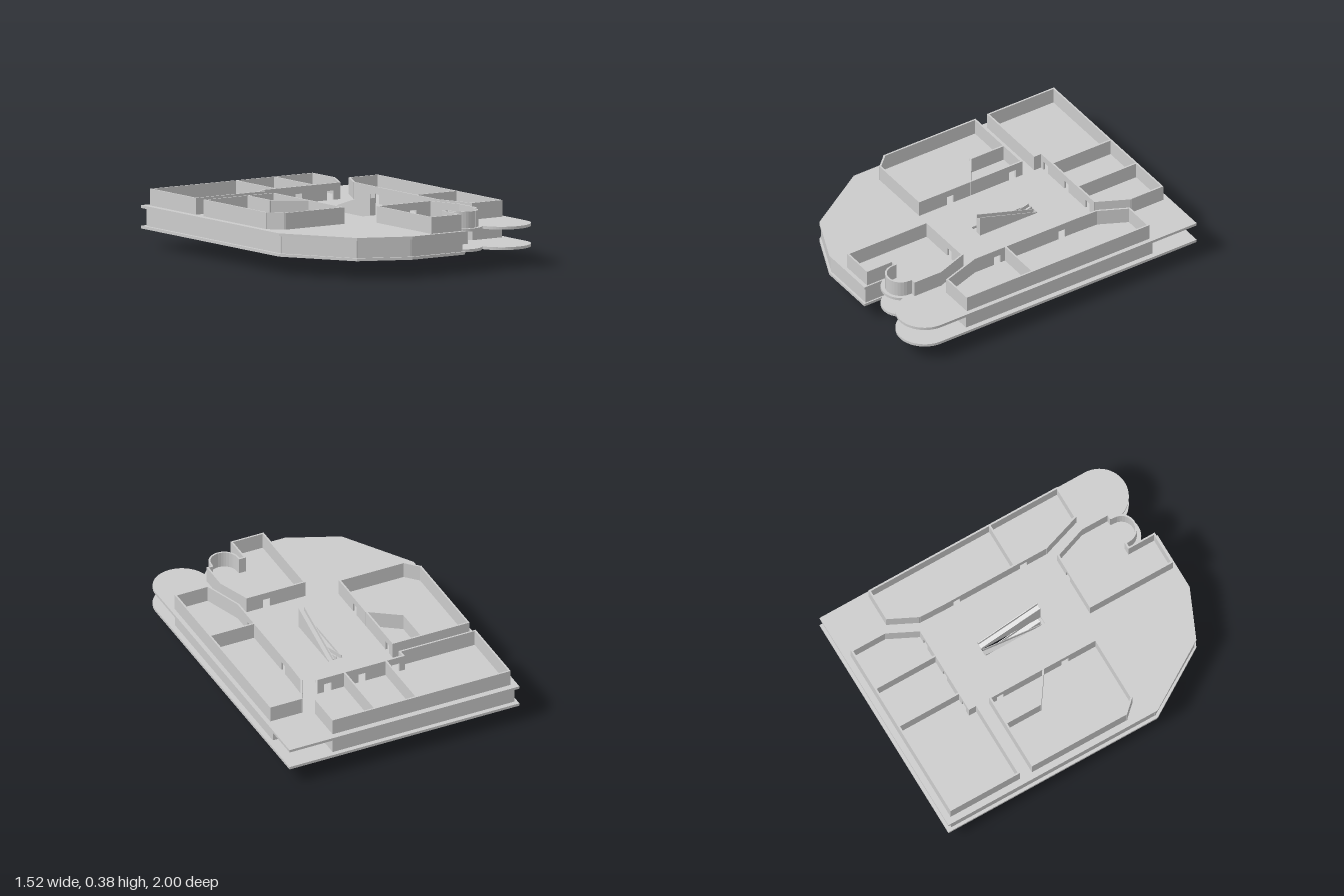
import * as THREE from 'three';

const T = 0.011; // wall thickness
const material = new THREE.MeshStandardMaterial({ color: 0xcccccc, flatShading: true, side: THREE.DoubleSide });

function addMesh(parent, geometry, name) {
  const mesh = new THREE.Mesh(geometry, material);
  mesh.name = name;
  parent.add(mesh);
  return mesh;
}

// Points [x, z] along an arc, angles measured from +x towards +z
function arc(cx, cz, r, a0, a1, n = 20) {
  return Array.from({ length: n + 1 }, (_, i) => {
    const a = a0 + (a1 - a0) * i / n;
    return [cx + r * Math.cos(a), cz + r * Math.sin(a)];
  });
}

// Upright wall from a to b, with a notch for every door point lying on it
function wallGeometry(a, b, y0, y1, doors) {
  const dx = b[0] - a[0], dz = b[1] - a[1], len = Math.hypot(dx, dz), h = y1 - y0;
  const ux = dx / len, uz = dz / len, doorW = 0.047, doorH = 0.056;
  const stops = doors
    .map(([x, z]) => ({ s: (x - a[0]) * ux + (z - a[1]) * uz, off: Math.abs((x - a[0]) * uz - (z - a[1]) * ux) }))
    .filter(d => d.off < 0.012 && d.s > doorW / 2 && d.s < len - doorW / 2)
    .map(d => d.s).sort((p, q) => p - q);
  const e = len > 0.03 ? T / 2 : T / 8;
  const pts = [[-e, 0]];
  for (const s of stops) {
    const l = s - doorW / 2, r = s + doorW / 2;
    pts.push([l, 0], [l, doorH], [r, doorH], [r, 0]);
  }
  pts.push([len + e, 0], [len + e, h], [-e, h]);
  const g = new THREE.ExtrudeGeometry(new THREE.Shape(pts.map(p => new THREE.Vector2(...p))),
    { depth: T, bevelEnabled: false });
  return g.translate(0, 0, -T / 2).rotateY(-Math.atan2(dz, dx)).translate(a[0], y0, a[1]);
}

function addRoom(parent, name, outline, partitions, y0, y1, doors = []) {
  const room = new THREE.Group();
  room.name = name;
  outline.forEach((p, i) => addMesh(room,
    wallGeometry(p, outline[(i + 1) % outline.length], y0, y1, doors), 'outerWall'));
  for (const line of partitions) {
    for (let i = 0; i < line.length - 1; i++) {
      addMesh(room, wallGeometry(line[i], line[i + 1], y0, y1, doors), 'partitionWall');
    }
  }
  parent.add(room);
}

// Floor plate with two rounded lobes, a cut corner and the stairwell opening
function slabGeometry(y0, y1) {
  const outline = [[-0.76, -1], [0.76, -1], ...arc(0.585, 0.825, 0.175, 0, 2.88, 28),
    ...arc(0.305, 0.805, 0.125, 0.57, Math.PI - 0.57, 16),
    [0.2, 1], [-0.18, 1], [-0.49, 0.865], [-0.76, 0.44]];
  const opening = [[0.055, -0.27], [0.055, 0.14], [0.15, 0.14], [0.15, -0.27]];
  const flat = ps => ps.map(([x, z]) => new THREE.Vector2(x, -z));
  const shape = new THREE.Shape(flat(outline));
  shape.holes.push(new THREE.Path(flat(opening)));
  return new THREE.ExtrudeGeometry(shape, { depth: y1 - y0, bevelEnabled: false })
    .rotateX(-Math.PI / 2).translate(0, y0, 0);
}

// Side profile [z, y] extruded across x
function profileGeometry(points, x0, width) {
  const shape = new THREE.Shape(points.map(([z, y]) => new THREE.Vector2(-z, y)));
  return new THREE.ExtrudeGeometry(shape, { depth: width, bevelEnabled: false })
    .rotateY(Math.PI / 2).translate(x0, 0, 0);
}

// Sloping wedge between two thin side panels
function addRamp(parent, name, x0, y, reversed) {
  const ramp = new THREE.Group();
  ramp.name = name;
  const w = 0.04, t = 0.004;
  const profile = (low, high) => [[-0.265, 0], [0.14, 0], [0.14, high], [-0.265, low]]
    .map(([z, h]) => [reversed ? -0.125 - z : z, y + h]);
  addMesh(ramp, profileGeometry(profile(0.004, 0.128), x0 + t, w - 2 * t), 'rampTread');
  for (const x of [x0, x0 + w - t]) {
    addMesh(ramp, profileGeometry(profile(0.028, 0.154), x, t), 'rampSide');
  }
  parent.add(ramp);
}

export function createModel() {
  const model = new THREE.Group();
  model.name = 'floorPlanModel';

  addMesh(model, slabGeometry(0.11, 0.127), 'lowerFloor');
  addMesh(model, slabGeometry(0.233, 0.25), 'upperFloor');

  // Upper storey rooms
  const u0 = 0.25, u1 = 0.35;
  addRoom(model, 'upperBackRooms',
    [[-0.715, -0.957], [0.452, -0.957], [0.452, -0.73], [0.357, -0.54], [-0.217, -0.54], [-0.217, -0.49], [-0.715, -0.49]],
    [[[-0.1, -0.957], [-0.1, -0.54]], [[0.175, -0.957], [0.175, -0.54]]],
    u0, u1, [[-0.163, -0.54], [0.06, -0.54], [0.287, -0.54]]);
  addRoom(model, 'upperRightRooms',
    [[-0.715, -0.397], [-0.218, -0.397], [-0.218, 0.33], [-0.64, 0.33], [-0.715, 0.25]],
    [[[-0.405, -0.397], [-0.405, -0.16], [-0.218, -0.03]]],
    u0, u1, [[-0.218, -0.33], [-0.218, 0.115]]);
  addRoom(model, 'upperLeftRooms',
    [[0.525, -0.675], [0.727, -0.675], [0.727, 0.617], [0.515, 0.617], [0.433, 0.37], [0.433, -0.35], [0.438, -0.5]],
    [[[0.433, 0.15], [0.727, 0.15]]],
    u0, u1, [[0.433, -0.25], [0.433, 0.21]]);
  addRoom(model, 'upperFrontRoom',
    [[-0.022, 0.408], [0.358, 0.408], [0.43, 0.61], [0.43, 0.793], [0.4, 0.793],
      ...arc(0.31, 0.815, 0.088, 0, Math.PI, 16), [0.22, 0.793], [0.185, 0.793], [0.185, 0.97], [-0.022, 0.97]],
    [], u0, u1, [[0.23, 0.408]]);

  // Lower storey rooms
  const l0 = 0.127, l1 = 0.233;
  addRoom(model, 'lowerMainRooms',
    [[-0.735, -0.965], [0.455, -0.965], [0.455, -0.78], [0.357, -0.54], [-0.217, -0.54], [-0.217, 0.408],
      [0.358, 0.408], [0.43, 0.61], [0.43, 0.67], [0.4, 0.73], [0.185, 0.73], [0.185, 0.98],
      [-0.178, 0.98], [-0.48, 0.85], [-0.735, 0.435]],
    [[[-0.1, -0.965], [-0.1, -0.54]], [[0.175, -0.965], [0.175, -0.54]],
      [[-0.735, -0.44], [-0.217, -0.44]], [[-0.735, 0.33], [-0.217, 0.33]]],
    l0, l1, [[-0.163, -0.54], [0.06, -0.54], [0.287, -0.54], [-0.217, -0.33], [-0.217, 0.115], [0.23, 0.408]]);
  addRoom(model, 'lowerLeftRooms',
    [[0.525, -0.7], [0.722, -0.7], [0.722, 0.62], [0.515, 0.62], [0.433, 0.37], [0.433, -0.5]],
    [[[0.433, 0.15], [0.722, 0.15]]],
    l0, l1, [[0.433, -0.25], [0.433, 0.21]]);

  // Ramps that switch direction from storey to storey
  addRamp(model, 'lowerRamp', 0.108, 0, false);
  addRamp(model, 'middleRamp', 0.056, 0.11, true);
  addRamp(model, 'upperRamp', 0.108, 0.226, false);

  return model;
}
